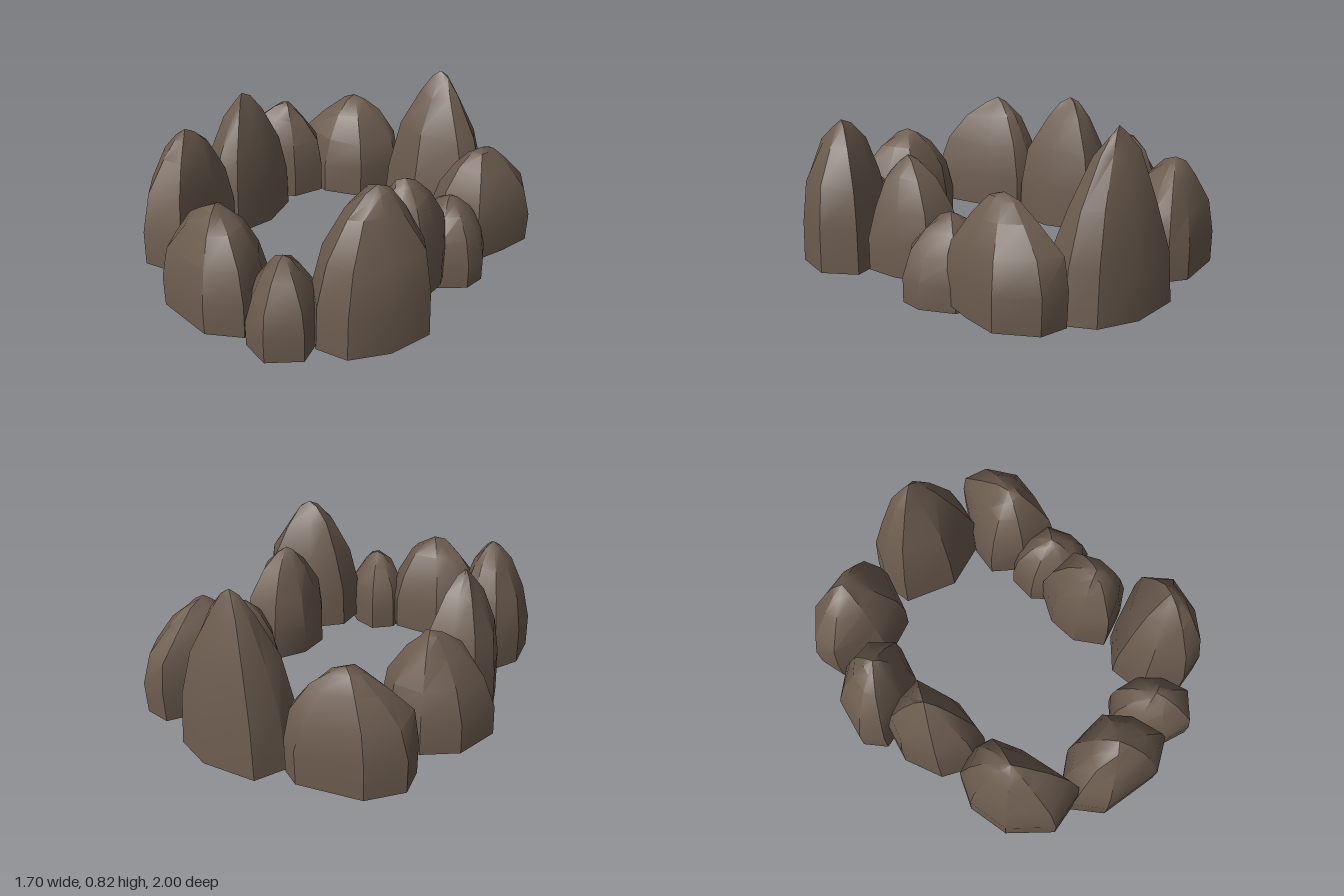
import * as THREE from 'three';
import { toCreasedNormals } from 'three/addons/utils/BufferGeometryUtils.js';

const stone = new THREE.MeshStandardMaterial({ color: 0x6b5b4e });

// Profiles as [height fraction, width fraction], blended per rock
const ROUND = [[0, 0.98], [0.3, 1], [0.58, 0.88], [0.82, 0.55], [0.95, 0.24]];
const POINTED = [[0, 1], [0.3, 0.92], [0.6, 0.7], [0.85, 0.34], [0.95, 0.13]];

// Small repeatable unevenness
const noise = (i, j, k) => {
  const s = Math.sin(i * 12.99 + j * 78.23 + k * 37.7) * 43758.55;
  return (s - Math.floor(s)) * 2 - 1;
};

// One boulder: a footprint (clockwise from above) narrowing towards its peak
function makeRock(name, seed, footprint, [px, py, pz], base, sharp) {
  const n = footprint.length;
  const positions = [];
  const index = [];
  const rings = ROUND.length;
  for (let r = 0; r < rings; r++) {
    const t = THREE.MathUtils.lerp(ROUND[r][0], POINTED[r][0], sharp);
    const w = THREE.MathUtils.lerp(ROUND[r][1], POINTED[r][1], sharp);
    footprint.forEach(([x, z], i) => {
      const s = r > 1 ? w * (1 + 0.08 * noise(i, r, seed)) : w;
      const lift = r > 0 ? 0.025 * noise(r, i, seed + 5) : 0;
      positions.push(px + (x - px) * s, base + (py - base) * Math.min(t + lift, 0.98), pz + (z - pz) * s);
    });
  }
  const tip = rings * n;
  positions.push(px, py, pz, px, base, pz);
  for (let i = 0; i < n; i++) {
    const j = (i + 1) % n;
    for (let r = 0; r < rings - 1; r++) {
      const a = r * n + i, b = r * n + j;
      index.push(b, a, a + n, b, a + n, b + n);
    }
    const top = (rings - 1) * n;
    index.push(top + j, top + i, tip); // crown
    index.push(tip + 1, i, j); // flat underside
  }
  const geo = new THREE.BufferGeometry();
  geo.setAttribute('position', new THREE.Float32BufferAttribute(positions, 3));
  geo.setIndex(index);
  const mesh = new THREE.Mesh(toCreasedNormals(geo, 0.55), stone);
  mesh.name = name;
  return mesh;
}

export function createModel() {
  const group = new THREE.Group();
  group.name = 'rockRing';
  let seed = 1;
  const rock = (name, footprint, peak, base, sharp) =>
    group.add(makeRock(name, seed++, footprint, peak, base, sharp));

  // Back pair
  rock('backRightRock', [[-0.52, -0.94], [-0.2, -0.98], [-0.11, -0.92], [-0.07, -0.82], [-0.17, -0.59],
    [-0.39, -0.53], [-0.64, -0.65], [-0.66, -0.8]], [-0.36, 0.59, -0.8], 0.045, 0.1);
  rock('backTallRock', [[0, -1], [0.28, -1], [0.47, -0.91], [0.53, -0.78], [0.48, -0.63],
    [0.19, -0.57], [-0.07, -0.7], [-0.08, -0.86]], [0.2, 0.83, -0.82], 0.005, 0.9);

  // Left side, back to front
  rock('leftBackRock', [[0.61, -0.86], [0.75, -0.83], [0.85, -0.65], [0.8, -0.46], [0.73, -0.28],
    [0.5, -0.31], [0.37, -0.44], [0.41, -0.6]], [0.61, 0.57, -0.52], 0.045, 0);
  rock('leftLowRock', [[0.55, -0.41], [0.74, -0.35], [0.81, -0.19], [0.79, -0.07], [0.66, 0.02],
    [0.53, 0], [0.4, -0.17], [0.42, -0.32]], [0.6, 0.42, -0.2], 0.01, 0.2);
  rock('leftMiddleRock', [[0.45, -0.13], [0.65, -0.1], [0.71, 0.06], [0.71, 0.24], [0.6, 0.3],
    [0.43, 0.34], [0.34, 0.19], [0.35, 0.02]], [0.53, 0.62, 0.14], 0.07, 0.15);
  rock('leftFrontRock', [[0.5, 0.33], [0.75, 0.27], [0.85, 0.43], [0.78, 0.65], [0.65, 0.8],
    [0.49, 0.81], [0.35, 0.65], [0.35, 0.46]], [0.61, 0.755, 0.52], 0.045, 0.4);

  // Front pair
  rock('frontSmallRock', [[0.21, 0.55], [0.34, 0.6], [0.44, 0.7], [0.48, 0.87], [0.34, 0.98],
    [0.19, 0.92], [0.1, 0.76], [0.11, 0.63]], [0.28, 0.42, 0.75], 0.01, 0.1);
  rock('frontWideRock', [[-0.19, 0.57], [0.07, 0.59], [0.16, 0.72], [0.19, 0.92], [0.02, 1],
    [-0.3, 0.92], [-0.4, 0.77], [-0.33, 0.65]], [-0.08, 0.575, 0.77], 0.045, 0.1);

  // Right side, front to back
  rock('rightFrontRock', [[-0.52, 0.21], [-0.43, 0.24], [-0.36, 0.42], [-0.32, 0.77], [-0.55, 0.79],
    [-0.72, 0.6], [-0.74, 0.38], [-0.66, 0.24]], [-0.53, 0.735, 0.47], 0.12, 0.25);
  rock('rightMiddleRock', [[-0.6, -0.25], [-0.44, -0.24], [-0.38, 0], [-0.43, 0.22], [-0.54, 0.26],
    [-0.71, 0.15], [-0.77, -0.06], [-0.72, -0.2]], [-0.575, 0.775, -0.02], 0.075, 0.45);
  rock('rightBackRock', [[-0.62, -0.6], [-0.45, -0.58], [-0.35, -0.45], [-0.42, -0.28], [-0.57, -0.2],
    [-0.78, -0.17], [-0.855, -0.28], [-0.78, -0.5]], [-0.56, 0.62, -0.39], 0.1, 0.3);

  return group;
}
